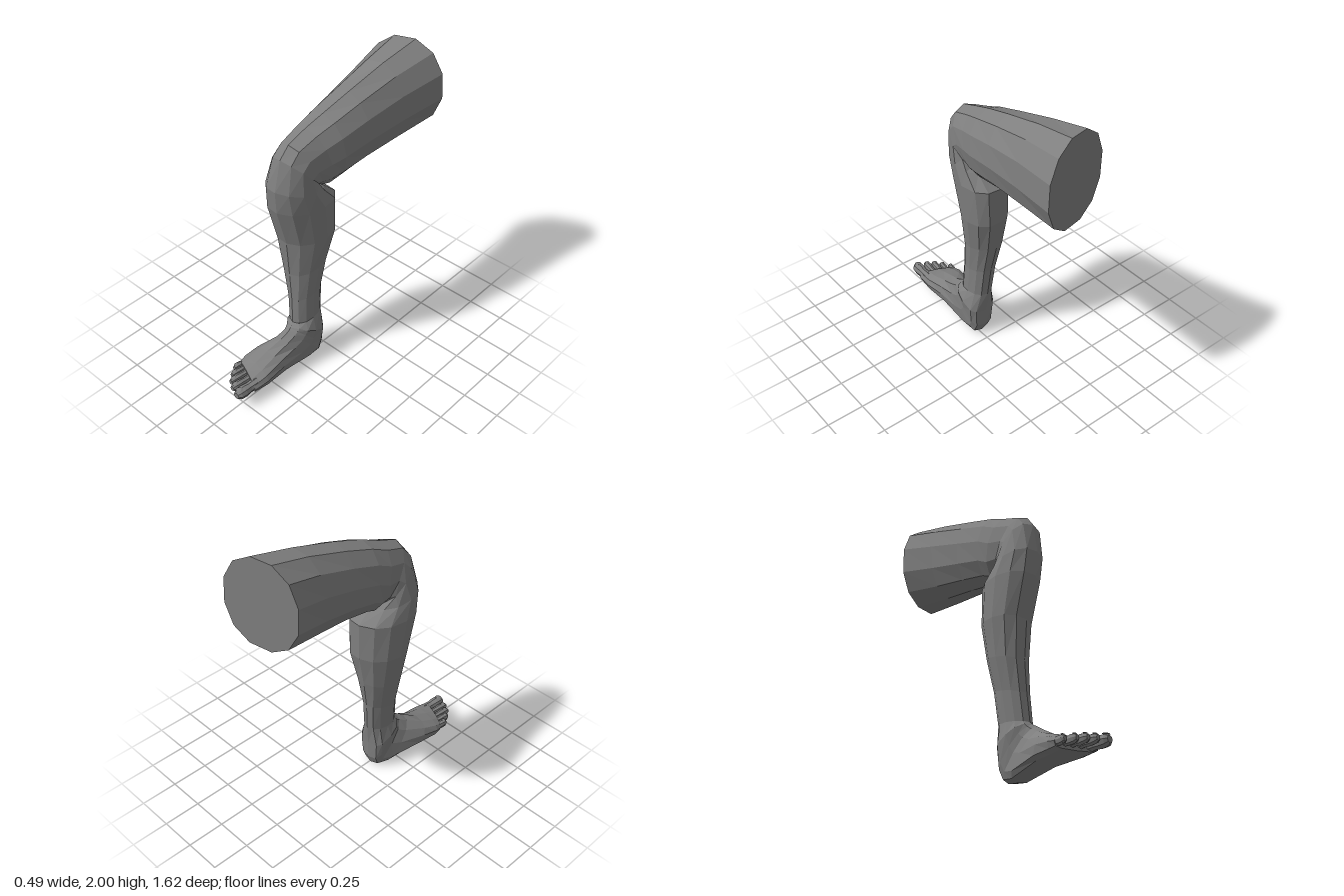
import * as THREE from 'three';

const SIDES = 12;
const material = new THREE.MeshStandardMaterial({ color: 0x7f7f7f, flatShading: true, side: THREE.DoubleSide });

// Skin a row of rings (arrays of Vector3); ends are closed with level strips.
function loft(name, rings, { capStart = false, capEnd = false }) {
  const n = rings[0].length, last = (rings.length - 1) * n, index = [];
  for (let i = 0; i < rings.length - 1; i++) {
    for (let j = 0; j < n; j++) {
      const k = (j + 1) % n, a = i * n + j, b = i * n + k;
      index.push(a, a + n, b, b, a + n, b + n);
    }
  }
  for (let j = 0; j < n / 2; j++) {
    const a = j, b = (n - j) % n, c = n - j - 1, d = j + 1;
    if (capStart) index.push(a, c, b, a, d, c);
    if (capEnd) index.push(last + a, last + b, last + c, last + a, last + c, last + d);
  }
  const geometry = new THREE.BufferGeometry().setFromPoints(rings.flat());
  geometry.setIndex(index);
  geometry.computeVertexNormals();
  const mesh = new THREE.Mesh(geometry, material);
  mesh.name = name;
  return mesh;
}

// Rounded ring between a front/top point and a back/bottom point.
// Powers below 1 square the front and back halves of the outline,
// shear slides z along with x, twist turns the corners around the ring.
function section([fz, fy, bz, by, xl, xr, shear = 0, twist = 0], frontPower, backPower) {
  const cx = (xl + xr) / 2;
  return Array.from({ length: SIDES }, (_, j) => {
    const a = j / SIDES * Math.PI * 2 + twist;
    const power = Math.cos(a) > 0 ? frontPower : backPower;
    const round = v => Math.sign(v) * Math.abs(v) ** power;
    const c = round(Math.cos(a)), dx = round(Math.sin(a)) * (xr - xl) / 2;
    return new THREE.Vector3(cx + dx,
      (fy + by) / 2 + c * (fy - by) / 2,
      (fz + bz) / 2 + c * (fz - bz) / 2 + shear * dx);
  });
}

// front z, front y, back z, back y, right x, left x, shear, twist
const THIGH_KNEE = [
  [-0.75, 2.005, -0.76, 1.415, -0.25, 0.245, -0.24, 0.2],
  [-0.48, 1.945, -0.47, 1.385, -0.21, 0.20, -0.1, 0.16],
  [-0.20, 1.865, -0.24, 1.37, -0.19, 0.175, 0, 0.1],
  [0.00, 1.80, -0.06, 1.345, -0.185, 0.155, 0, 0.05],
  [0.12, 1.75, 0.00, 1.325, -0.18, 0.13],
  [0.26, 1.70, 0.05, 1.34, -0.165, 0.11],
  [0.32, 1.62, 0.07, 1.36, -0.18, 0.105],
  [0.36, 1.41, 0.03, 1.335, -0.205, 0.11, -0.15],
];
const SHIN = [
  [0.345, 1.25, -0.07, 1.25, -0.22, 0.115, -0.2],
  [0.27, 0.98, -0.07, 1.00, -0.21, 0.10, -0.2],
  [0.25, 0.72, -0.03, 0.78, -0.17, 0.06, -0.1],
  [0.25, 0.52, 0.01, 0.57, -0.125, 0.045],
  [0.26, 0.34, 0.03, 0.36, -0.105, 0.05],
];
// The rings fan around the front of the ankle, then run along the foot.
const FOOT = [
  [0.275, 0.325, 0.045, 0.21, -0.125, 0.085],
  [0.29, 0.315, 0.05, 0.08, -0.11, 0.072],
  [0.315, 0.30, 0.075, 0.015, -0.10, 0.07],
  [0.37, 0.265, 0.16, 0.002, -0.12, 0.065],
  [0.47, 0.21, 0.40, 0.045, -0.175, 0.062],
  [0.57, 0.175, 0.56, 0.055, -0.195, 0.07, 0.15],
  [0.645, 0.15, 0.64, 0.07, -0.19, 0.06, 0.42],
];

// base x, base z, tip x, tip z, radius
const TOES = [
  ['bigToe', 0.02, 0.64, 0.01, 0.81, 0.04],
  ['secondToe', -0.037, 0.62, -0.055, 0.785, 0.027],
  ['thirdToe', -0.083, 0.59, -0.10, 0.755, 0.026],
  ['fourthToe', -0.122, 0.57, -0.137, 0.71, 0.024],
  ['littleToe', -0.16, 0.54, -0.172, 0.655, 0.023],
];

// Narrow behind the knuckle, fuller at the pad, blunt at the tip
function toe([name, x0, z0, x1, z1, r]) {
  const group = new THREE.Group();
  group.name = name;
  const height = r * 0.6 + 0.016;
  const profile = [[0, 0.95], [0.4, 0.85], [0.65, 1], [0.88, 0.92], [1, 0.55]];
  const rings = profile.map(([t, s]) => {
    const x = THREE.MathUtils.lerp(x0, x1, t), z = THREE.MathUtils.lerp(z0, z1, t);
    return Array.from({ length: 8 }, (_, j) => {
      const a = j / 8 * Math.PI * 2;
      return new THREE.Vector3(x + Math.sin(a) * r * s, 0.112 + Math.cos(a) * height * s, z);
    });
  });
  group.add(loft(name + 'Flesh', rings, { capEnd: true }));
  const nail = new THREE.Mesh(new THREE.SphereGeometry(r * 0.6, 6, 4), material);
  nail.name = name + 'Nail';
  nail.scale.set(1, 0.25, 1);
  nail.rotation.x = 0.2;
  nail.position.set(THREE.MathUtils.lerp(x0, x1, 0.85), 0.112 + height * 0.9, THREE.MathUtils.lerp(z0, z1, 0.85));
  group.add(nail);
  return group;
}

export function createModel() {
  const model = new THREE.Group();
  model.name = 'bentLeg';
  const thigh = THIGH_KNEE.map(s => section(s, 0.95, 0.9));
  const shin = SHIN.map(s => section(s, 0.95, 0.9));
  const foot = FOOT.map(s => section(s, 0.9, 0.6));
  // Neighbouring parts share their border ring.
  model.add(loft('thighAndKnee', [...thigh, shin[0]], { capStart: true }));
  model.add(loft('shin', shin, {}));
  model.add(loft('foot', [shin.at(-1), ...foot], { capEnd: true }));
  const toes = new THREE.Group();
  toes.name = 'toes';
  TOES.forEach(t => toes.add(toe(t)));
  model.add(toes);
  return model;
}
